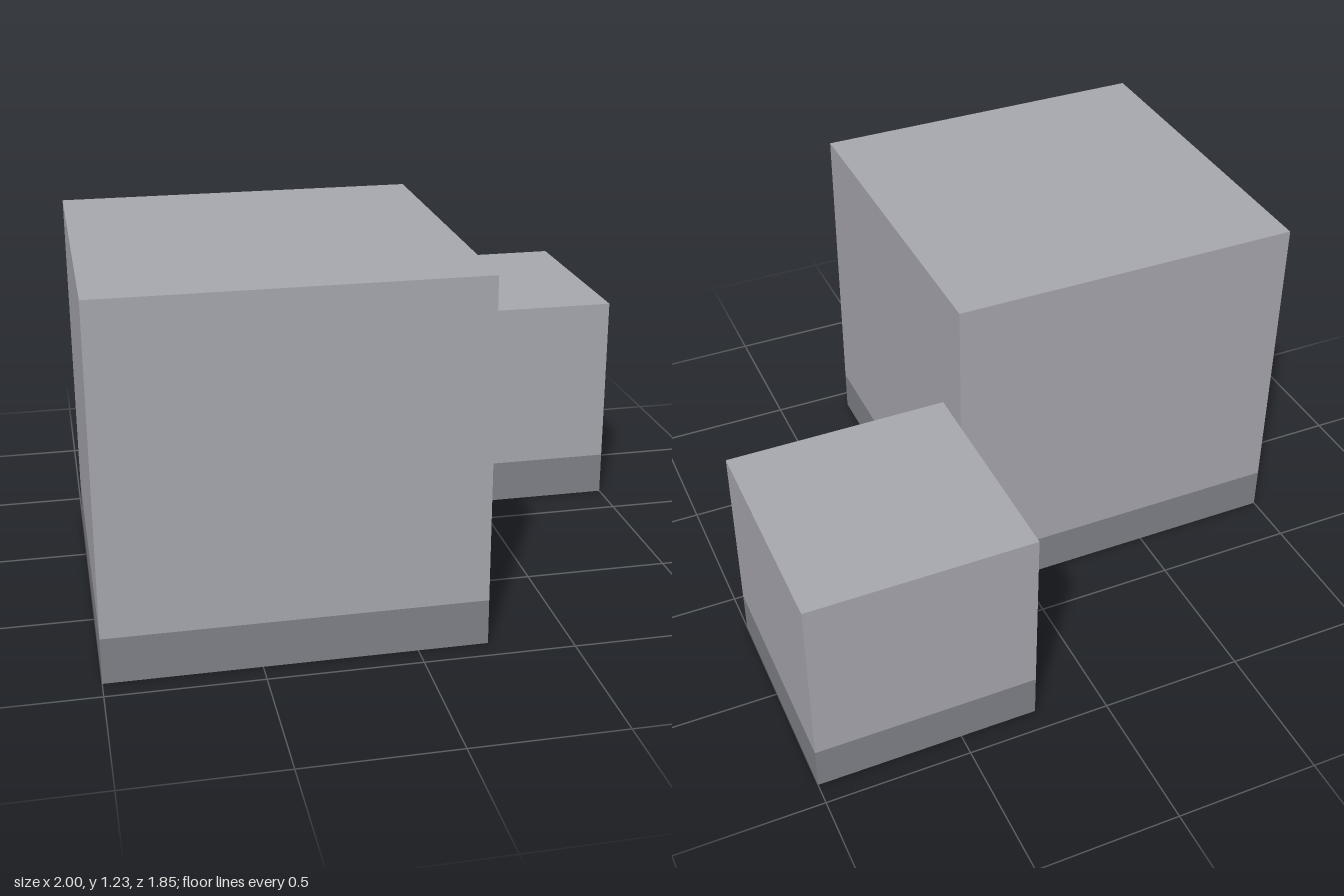
import * as THREE from 'three';

const U = 2 / 13; // one module: the height of the dark plinth band

export function createModel() {
  const model = new THREE.Group();
  const wall = new THREE.MeshStandardMaterial({ color: 0xa6a6ae });
  const plinth = new THREE.MeshStandardMaterial({ color: 0x808088 });

  // Cube of the given size in modules: dark plinth band below, lighter body above
  function addBlock(name, size, x, z) {
    const block = new THREE.Group();
    block.name = name;
    const addLayer = (layer, y0, y1, material) => {
      const geometry = new THREE.BoxGeometry(size * U, (y1 - y0) * U, size * U);
      const mesh = new THREE.Mesh(geometry, material);
      mesh.name = layer;
      mesh.position.y = (y0 + y1) / 2 * U;
      block.add(mesh);
    };
    addLayer('plinth', 0, 1, plinth);
    addLayer('body', 1, size, wall);
    block.position.set(x * U, 0, z * U);
    model.add(block);
  }

  addBlock('largeBlock', 8, -2.5, 2);
  addBlock('smallBlock', 5, 4, -3.5);
  return model;
}
